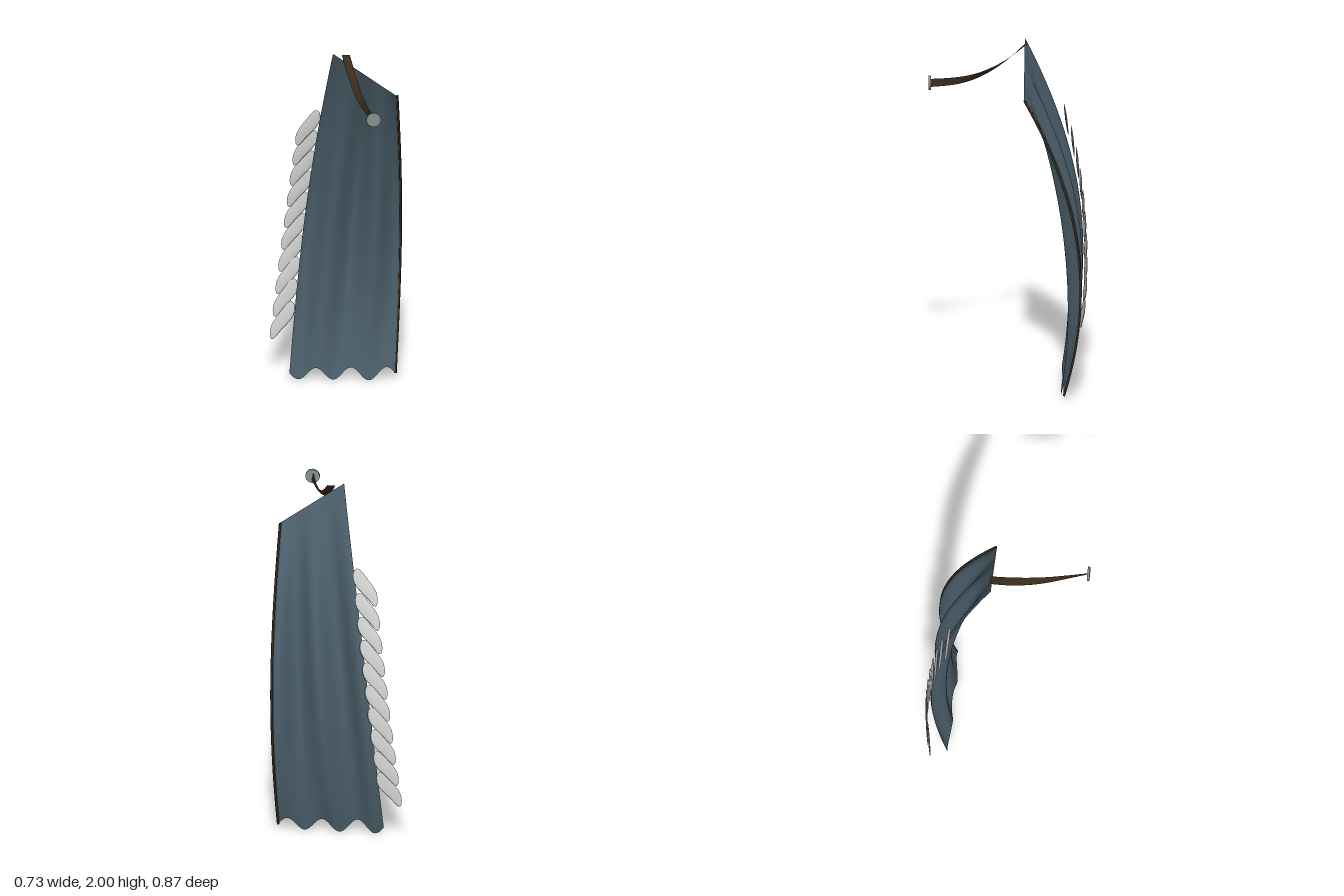
import * as THREE from 'three';
import { ParametricGeometry } from 'three/addons/geometries/ParametricGeometry.js';

const { lerp } = THREE.MathUtils;

const paint = (name, color, side = THREE.FrontSide) => {
  const m = new THREE.MeshStandardMaterial({ color, side });
  m.name = name;
  return m;
};

// Point on the draped cloth: u runs across to +x, v runs from the top edge down
function clothPoint(u, v, target) {
  const belly = Math.sin(Math.PI * v);
  const left = lerp(-0.02, -0.26, v) - 0.025 * belly;
  const right = lerp(0.333, 0.323, v) + 0.024 * belly;
  const hem = 0.04 - 0.036 * Math.sin(6 * Math.PI * u);
  const fold = (0.04 * belly + 0.008 * v) * Math.cos(14 * (u - 0.5));
  return target.set(
    lerp(left, right, u),
    lerp(2 - 0.25 * u, hem, v),
    -0.085 - 0.21 * v - 0.62 * v * (1 - v) - fold
  );
}

// Feather blade: a flat lens along y, broad at the root and pointed at the tip
function featherGeometry() {
  const g = new THREE.SphereGeometry(1, 12, 14);
  const p = g.attributes.position;
  for (let i = 0; i < p.count; i++) {
    const y = p.getY(i);
    const width = 0.038 * (1 + 0.2 * y);
    p.setXYZ(i, p.getX(i) * width + 0.008 * Math.sin(Math.PI * y), y * 0.121, p.getZ(i) * 0.005);
  }
  g.computeVertexNormals();
  return g;
}

export function createModel() {
  const model = new THREE.Group();
  const cloth = paint('slate cloth', 0x4b5f6b, THREE.DoubleSide);
  const leather = paint('dark leather', 0x3a2b1c, THREE.DoubleSide);
  const white = paint('feather white', 0xd6d8d6);
  const metal = paint('clasp metal', 0x87908f);

  const add = (name, geometry, material, parent = model) => {
    const mesh = new THREE.Mesh(geometry, material);
    mesh.name = name;
    parent.add(mesh);
    return mesh;
  };

  // Draped cape
  add('cape', new ParametricGeometry(clothPoint, 60, 48), cloth);

  // Leather trim along the outer edge, tucked just behind the cloth
  const edge = [];
  for (let i = 0; i <= 16; i++) {
    const p = clothPoint(1, i / 16, new THREE.Vector3());
    edge.push(p.add(new THREE.Vector3(0, 0, -0.005)));
  }
  add('edgeTrim', new THREE.TubeGeometry(new THREE.CatmullRomCurve3(edge), 40, 0.007, 6), leather);

  // Shoulder strap: a ribbon that twists from flat to upright
  const path = new THREE.CatmullRomCurve3([
    [0.05, 1.99, -0.095], [0.08, 1.915, 0], [0.11, 1.858, 0.1],
    [0.14, 1.823, 0.2], [0.17, 1.81, 0.3], [0.205, 1.81, 0.43],
  ].map((p) => new THREE.Vector3(...p)));
  const strap = (u, v, target) => {
    const twist = v * 1.8;
    const w = (u - 0.5) * 0.044;
    path.getPoint(v, target);
    target.x += w * Math.cos(twist);
    target.y += w * Math.sin(twist);
    return target;
  };
  add('shoulderStrap', new ParametricGeometry(strap, 4, 32), leather);

  // Round clasp at the strap's end
  const clasp = add('clasp', new THREE.CylinderGeometry(0.04, 0.04, 0.013, 28), metal);
  clasp.rotation.x = Math.PI / 2;
  clasp.position.set(0.205, 1.81, 0.434);

  // Row of overlapping feathers beside the inner edge
  const feathers = new THREE.Group();
  feathers.name = 'featherRow';
  model.add(feathers);
  const blade = featherGeometry();
  const rootDepth = [-0.3, -0.338, -0.366, -0.387, -0.402, -0.413, -0.42, -0.422, -0.42, -0.411];
  const up = new THREE.Vector3(0, 1, 0);
  rootDepth.forEach((z, i) => {
    const t = i / (rootDepth.length - 1);
    const root = new THREE.Vector3(lerp(-0.105, -0.245, t), lerp(1.585, 0.42, t), z);
    const tip = root.clone().add(new THREE.Vector3(-0.113, -0.213, lerp(-0.02, 0.025, t)));
    const feather = add('feather', blade, white, feathers);
    feather.position.copy(root).lerp(tip, 0.5);
    feather.quaternion.setFromUnitVectors(up, root.sub(tip).normalize());
    feather.rotateY(0.16);
  });

  return model;
}
